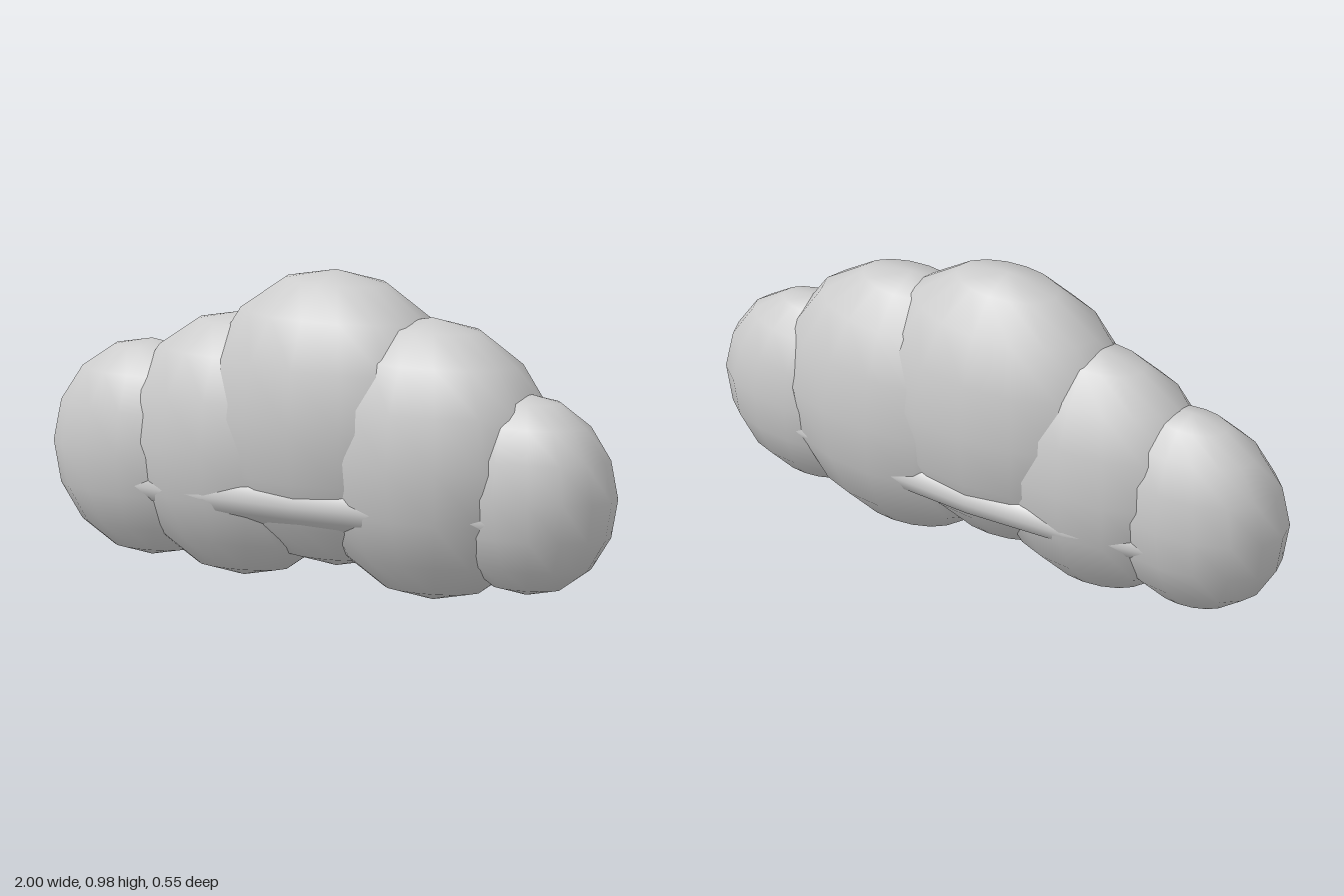
import * as THREE from 'three';

// Cloud made of overlapping flattened spheres
export function createModel() {
  const group = new THREE.Group();
  group.name = 'cloud';
  const material = new THREE.MeshStandardMaterial({ color: 0xcccccc });
  const sphere = new THREE.SphereGeometry(1, 16, 8);

  function addPuff(name, x, y, rx, ry, rz) {
    const puff = new THREE.Mesh(sphere, material);
    puff.name = name;
    puff.position.set(x, y, 0);
    puff.scale.set(rx, ry, rz);
    group.add(puff);
  }

  // Round puffs, all equally flattened from front to back
  const flatten = 0.6;
  const puffs = [
    ['centrePuff', 0, 0.53, 0.455],
    ['leftPuff', 0.35, 0.437, 0.433],
    ['rightPuff', -0.335, 0.42, 0.405],
    ['leftEndPuff', 0.69, 0.36, 0.31],
    ['rightEndPuff', -0.668, 0.378, 0.332],
  ];
  for (const [name, x, y, r] of puffs) addPuff(name, x, y, r, r, r * flatten);

  // Wide thin disc running through the lower part of the puffs
  addPuff('baseDisc', 0, 0.285, 0.92, 0.105, 0.247);

  return group;
}
